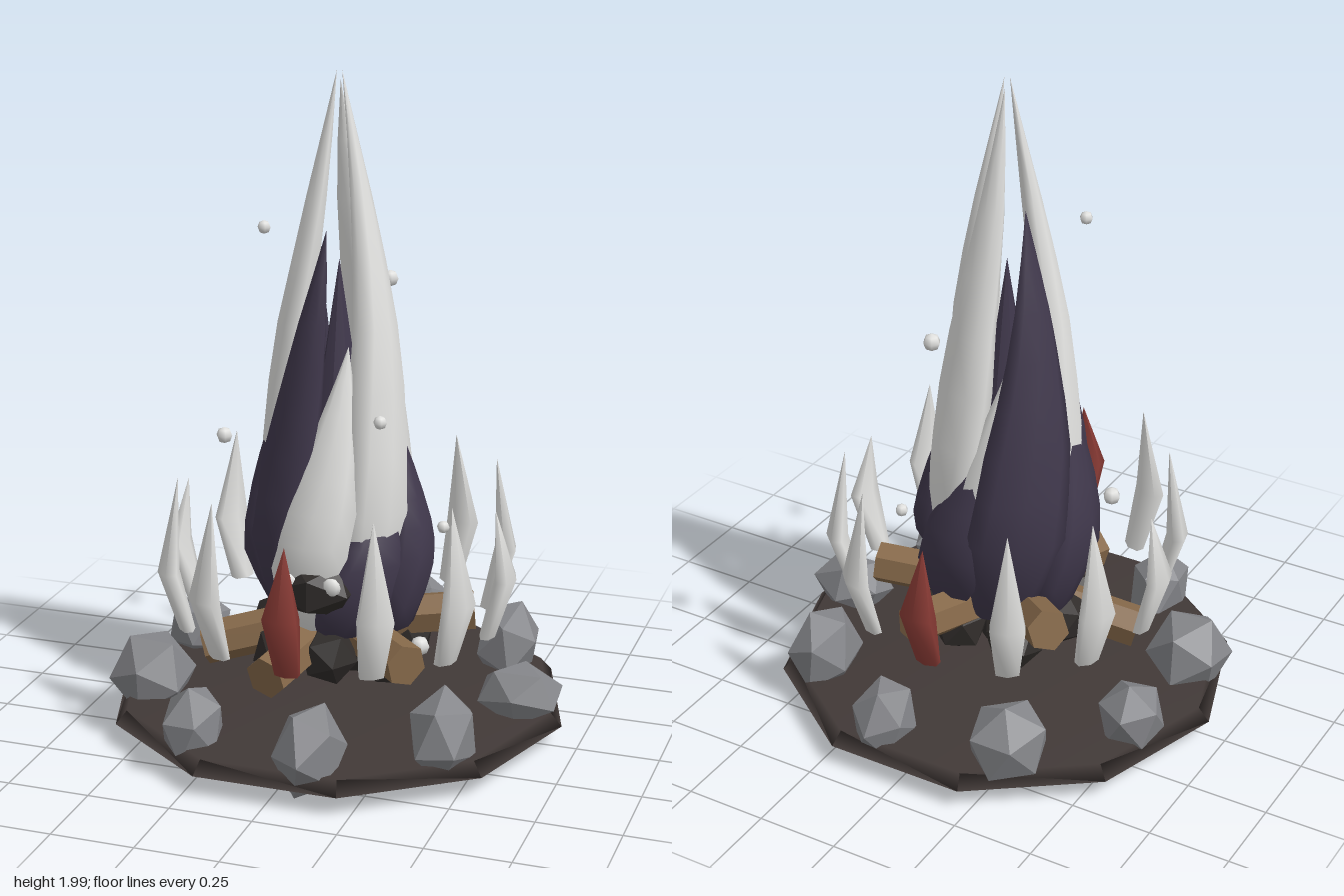
import * as THREE from 'three';

const paint = (name, color, flatShading = false) => {
  const m = new THREE.MeshStandardMaterial({ color });
  m.name = name;
  m.flatShading = flatShading;
  return m;
};

// Piecewise linear lookup in [[key, value], ...]
function lerpTable(table, k) {
  for (let i = 1; i < table.length; i++) {
    const [k0, v0] = table[i - 1], [k1, v1] = table[i];
    if (k <= k1) return v0 + (v1 - v0) * Math.max(0, (k - k0) / (k1 - k0));
  }
  return table[table.length - 1][1];
}

// Loft of horizontal ellipses. Each section: y, distance from axis r, angle a,
// radial half size hr and tangential half size ht.
function loft(sections, sides) {
  const pos = [], idx = [];
  for (const { y, r, a, hr, ht } of sections) {
    for (let j = 0; j < sides; j++) {
      const p = (j / sides) * Math.PI * 2;
      const u = r + Math.cos(p) * hr, v = Math.sin(p) * ht;
      pos.push(Math.sin(a) * u + Math.cos(a) * v, y, Math.cos(a) * u - Math.sin(a) * v);
    }
  }
  for (let i = 0; i < sections.length - 1; i++) {
    for (let j = 0; j < sides; j++) {
      const a = i * sides + j, b = i * sides + (j + 1) % sides;
      idx.push(a, b, a + sides, b, b + sides, a + sides);
    }
  }
  const g = new THREE.BufferGeometry();
  g.setAttribute('position', new THREE.Float32BufferAttribute(pos, 3));
  g.setIndex(idx);
  g.computeVertexNormals();
  return g;
}

export function createModel() {
  const model = new THREE.Group();
  model.name = 'campfire';
  model.position.z = -0.012;

  const ash = paint('ash ground', 0x413937);
  const stone = paint('grey stone', 0x85868a, true);
  const coalMat = paint('charcoal', 0x302c2a, true);
  const wood = paint('brown wood', 0x86694a, true);
  const pale = paint('pale flame', 0xe2e2e0);
  const dusk = paint('dark purple flame', 0x40384c);
  const red = paint('red spike', 0x8e3d37);

  const add = (name, geo, mat, x = 0, y = 0, z = 0) => {
    const m = new THREE.Mesh(geo, mat);
    m.name = name;
    m.position.set(x, y, z);
    model.add(m);
    return m;
  };
  const deg = Math.PI / 180;

  // Ground slab with softly shaded rim
  const disc = (y, r) => ({ y, r: 0, a: Math.PI / 2, hr: r, ht: r });
  add('ground', loft([disc(0.07, 0), disc(0.07, 0.7), disc(0.11, 0.665), disc(0.11, 0)], 10), ash);

  // Ring of stones: half sizes and height of each, every 40 degrees
  const stones = [
    [0.13, 0.09, 0.105, 0.16], [0.1, 0.135, 0.135, 0.165], [0.1, 0.137, 0.13, 0.15],
    [0.09, 0.125, 0.12, 0.14], [0.125, 0.13, 0.135, 0.155], [0.1, 0.11, 0.1, 0.16],
    [0.12, 0.12, 0.13, 0.165], [0.09, 0.125, 0.113, 0.15], [0.1, 0.135, 0.13, 0.165],
  ];
  stones.forEach(([sx, sy, sz, y], i) => {
    const a = i * 40 * deg;
    const g = new THREE.IcosahedronGeometry(1.06, 0);
    g.rotateX(i * 1.3 + 0.4).rotateY(i * 2.1).rotateZ(i * 0.7);
    g.scale(sx, sy, sz);
    add('stone', g, stone, Math.cos(a) * 0.57, y, Math.sin(a) * 0.565);
  });

  // Bed of coals
  for (let i = 0; i < 7; i++) {
    const a = i * Math.PI * 2 / 7 + 0.5;
    const g = new THREE.IcosahedronGeometry(0.09, 0).rotateX(i * 1.7).rotateY(i);
    add('coal', g, coalMat, Math.cos(a) * 0.2, 0.26 + (i % 2) * 0.03, Math.sin(a) * 0.2);
  }
  add('coalHeart', new THREE.IcosahedronGeometry(0.15, 0), coalMat, 0, 0.29, 0);

  // Logs leaning outward, each at its own height
  const logEnds = [0.36, 0.325, 0.28, 0.24, 0.43, 0.39];
  logEnds.forEach((y, i) => {
    const a = (-17 + i * 60) * deg;
    const inner = new THREE.Vector3(Math.cos(a) * 0.05, 0.33, Math.sin(a) * 0.05);
    const outer = new THREE.Vector3(Math.cos(a) * 0.41, y, Math.sin(a) * 0.41);
    const dir = outer.clone().sub(inner);
    const log = add('log', new THREE.CylinderGeometry(0.065, 0.065, dir.length(), 6), wood);
    log.position.copy(inner).add(outer).multiplyScalar(0.5);
    log.quaternion.setFromUnitVectors(new THREE.Vector3(0, 1, 0), dir.normalize());
  });

  // Ring of curved spikes, red at front and back, shorter on the axes
  for (let i = 0; i < 12; i++) {
    const a = i * 30 * deg;
    const top = i % 3 === 0 ? 0.725 : 0.81;
    const s = (y, r, hr, ht) => ({ y, r, a, hr, ht });
    const g = loft([
      s(0.33, 0.465, 0, 0), s(0.33, 0.465, 0.024, 0.04),
      s(0.52, 0.518, 0.033, 0.06), s(top, 0.485, 0, 0),
    ], 6);
    add('spike', g, i % 6 === 0 ? red : pale);
  }

  // Twisting flame tongues: angle, tip height, extra reach at the foot, tangential half size
  const path = [[0.35, 0.12], [0.6, 0.18], [0.9, 0.16], [1.3, 0.125], [1.6, 0.075], [2, 0.008]];
  const width = [[0, 0.55], [0.2, 1], [0.45, 0.88], [0.75, 0.45], [1, 0]];
  const tongue = (name, mat, [angle, top, bulge, ht]) => {
    const rings = [];
    const steps = 9;
    for (let i = -1; i <= steps; i++) {
      const t = Math.max(0, i) / steps;
      const y = 0.35 + (top - 0.35) * t;
      const w = i < 0 ? 0 : lerpTable(width, t);
      const reach = bulge * Math.max(0, 1 - t * 1.2);
      rings.push({
        y, r: lerpTable(path, y) + reach, a: angle * deg - 0.3 + 0.9 * t,
        hr: 0.073 * w, ht: ht * w,
      });
    }
    add(name, loft(rings, 8), mat);
  };
  [
    [-4, 1.22, 0.045, 0.125], [62, 2, 0, 0.115], [148, 1.97, 0, 0.115],
    [283, 2, 0, 0.115], [182, 1.2, 0.01, 0.115],
  ].forEach((t) => tongue('paleFlame', pale, t));
  [
    [38, 0.85, 0.06, 0.13], [95, 1.05, 0.08, 0.14], [165, 1, 0.085, 0.14],
    [222, 1.62, 0.07, 0.15], [272, 1.24, 0.07, 0.14], [318, 1.55, 0.03, 0.12],
  ].forEach((t) => tongue('darkFlame', dusk, t));
  add('flameCore', new THREE.ConeGeometry(0.17, 1.1, 8), dusk, 0, 0.9, 0);

  // Dark face block with two eyes
  const face = add('face', new THREE.IcosahedronGeometry(1, 0), coalMat, 0, 0.505, 0.215);
  face.scale.set(0.135, 0.09, 0.1);
  for (const side of [-1, 1]) {
    const eye = add('eye', new THREE.SphereGeometry(0.028, 8, 6), pale, side * 0.068, 0.535, 0.272);
    eye.scale.z = 0.6;
  }

  // Floating sparks
  const sparks = [
    [-0.18, 1.56, 0.14, 0.02], [0.24, 1.08, 0.355, 0.02], [-0.41, 0.835, -0.11, 0.026],
    [0.05, 1.315, -0.335, 0.026], [0.28, 0.6, -0.155, 0.02], [0.27, 0.29, 0.045, 0.03],
  ];
  for (const [x, y, z, r] of sparks) add('spark', new THREE.SphereGeometry(r, 6, 4), pale, x, y, z);

  return model;
}
